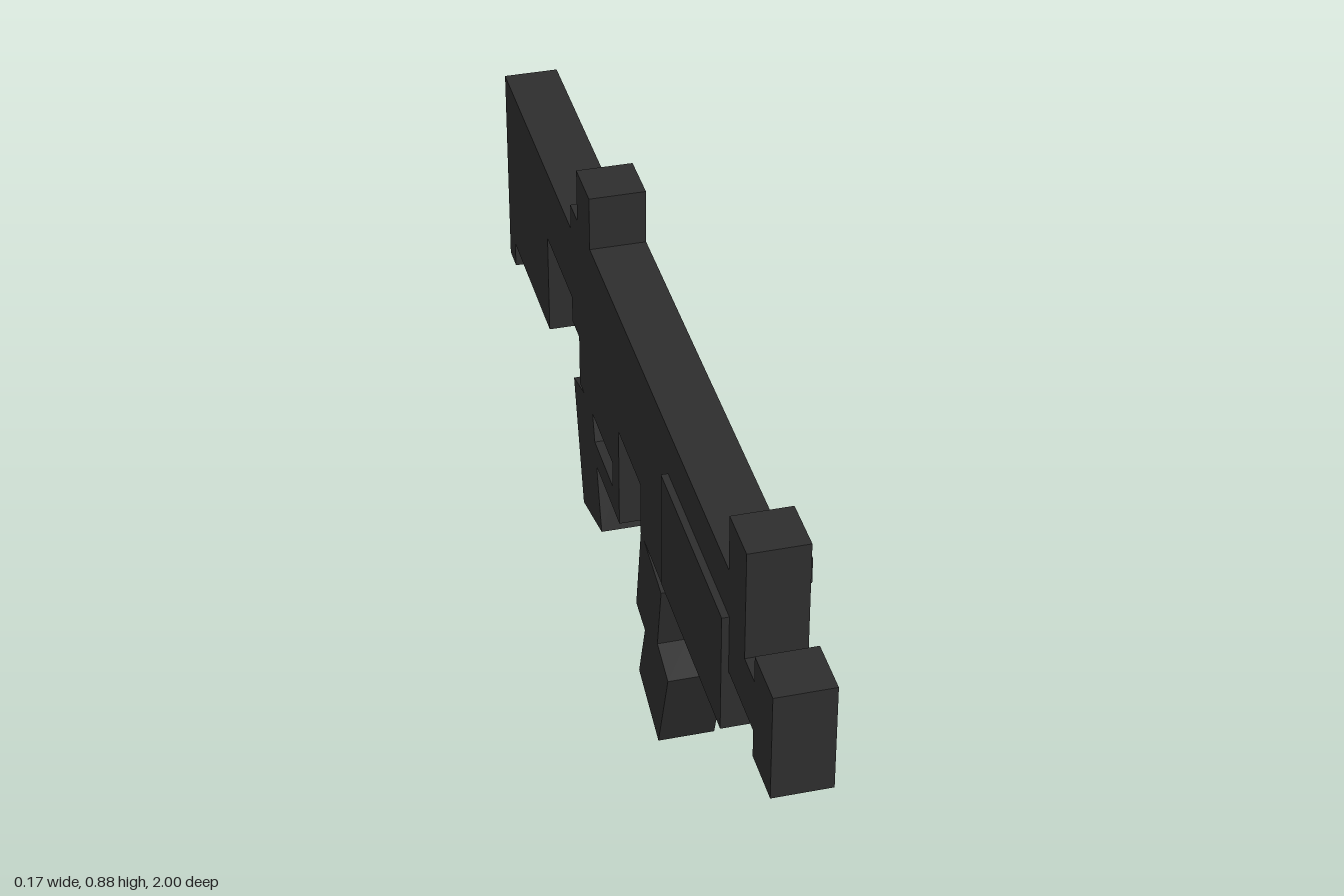
import * as THREE from 'three';

export function createModel() {
  const model = new THREE.Group();
  const charcoal = new THREE.MeshStandardMaterial({ color: 0x2d2d2d });
  charcoal.name = 'charcoal';

  // Standard body thickness
  const X0 = -0.075, X1 = 0.033;

  // Axis-aligned block given by its limits along z, y and x
  function block(name, z0, z1, y0, y1, x0 = X0, x1 = X1) {
    const mesh = new THREE.Mesh(new THREE.BoxGeometry(x1 - x0, y1 - y0, z1 - z0), charcoal);
    mesh.position.set((x0 + x1) / 2, (y0 + y1) / 2, (z0 + z1) / 2);
    mesh.name = name;
    model.add(mesh);
  }

  // Block leaning forward (positive) or backward (negative) by an angle in degrees
  function leaningBlock(name, z, y, depth, height, degrees) {
    const mesh = new THREE.Mesh(new THREE.BoxGeometry(X1 - X0, height, depth), charcoal);
    mesh.position.set((X0 + X1) / 2, y, z);
    mesh.rotation.x = THREE.MathUtils.degToRad(degrees);
    mesh.name = name;
    model.add(mesh);
  }

  // Main body and front end
  block('body', -0.405, 0.735, 0.505, 0.77);
  block('barrel', 0.735, 0.895, 0.56, 0.665);
  block('muzzle', 0.895, 1, 0.505, 0.717);
  block('handguard', 0.34, 0.743, 0.437, 0.677, -0.088, 0.047);
  block('sideKnob', 0.625, 0.677, 0.665, 0.717, X1, 0.086);

  // Sights
  block('frontSight', 0.735, 0.837, 0.665, 0.88);
  block('rearSight', -0.348, -0.245, 0.77, 0.88);

  // Stock
  block('stockTop', -1, -0.405, 0.56, 0.717);
  block('stockLower', -1, -0.62, 0.342, 0.56);
  block('stockToe', -1, -0.948, 0.288, 0.342);

  // Magazine
  block('magazineWell', 0.14, 0.298, 0.396, 0.505);
  leaningBlock('magazineUpper', 0.197, 0.286, 0.152, 0.203, 11);
  leaningBlock('magazineLower', 0.232, 0.128, 0.157, 0.215, 19);

  // Grip and trigger guard
  block('gripMount', -0.348, -0.028, 0.396, 0.505);
  block('guardFront', -0.08, -0.028, 0.29, 0.396);
  block('guardBottom', -0.24, -0.08, 0.29, 0.34);
  leaningBlock('grip', -0.289, 0.265, 0.16, 0.266, -15);

  return model;
}
